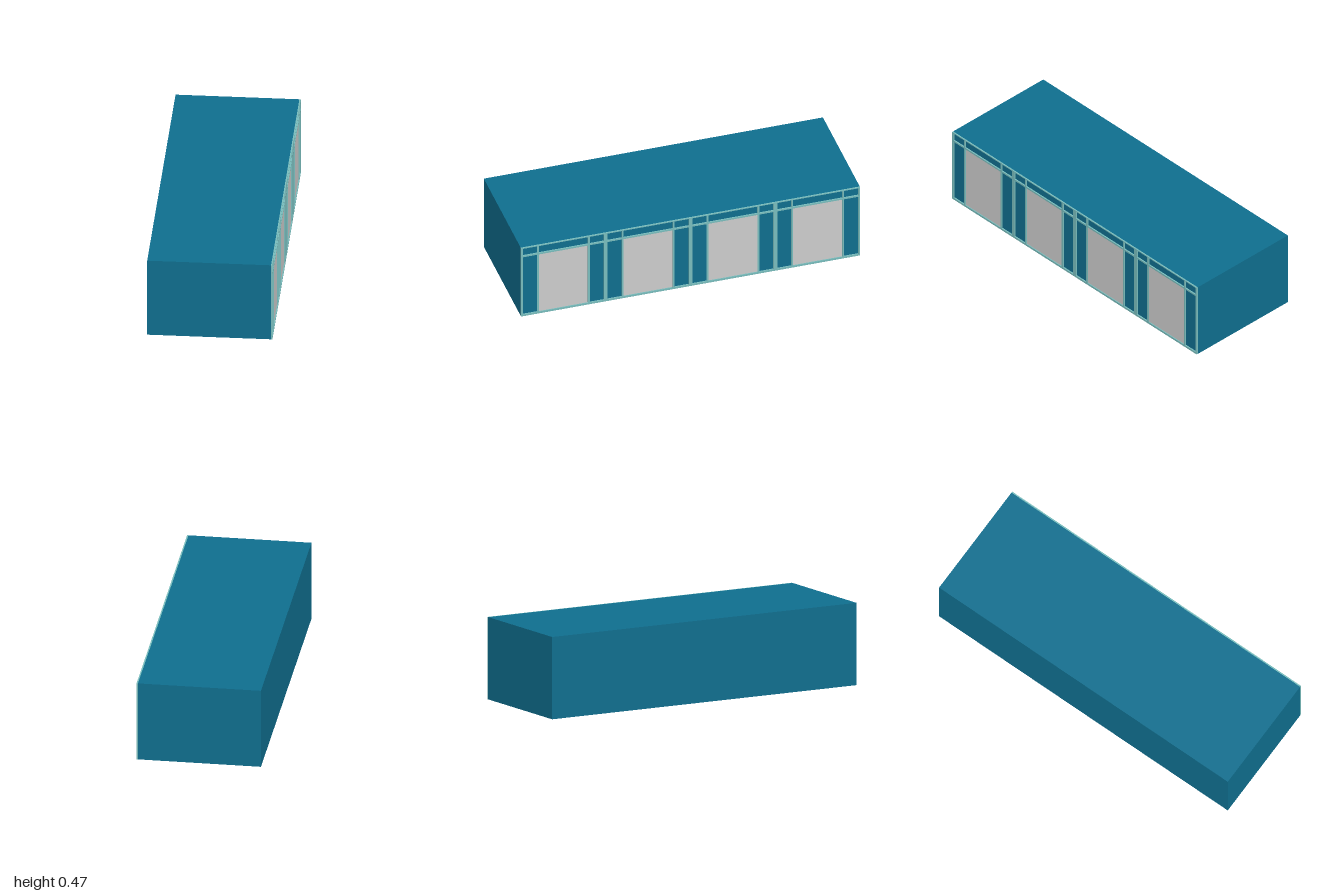
import * as THREE from 'three';

const H = 0.472, FACE = 0.346, DEPTH = 0.008, MODULE = 0.5;
const EDGE = 0.011, BAR = 0.01;

const blue = new THREE.MeshStandardMaterial({ color: 0x0f6e8e });
const teal = new THREE.MeshStandardMaterial({ color: 0x78bcbc });
const grey = new THREE.MeshStandardMaterial({ color: 0xcccccc });

function add(parent, name, geometry, material, x, y, z) {
  const mesh = new THREE.Mesh(geometry, material);
  mesh.name = name;
  mesh.position.set(x, y, z);
  parent.add(mesh);
  return mesh;
}

function rect(path, x0, y0, x1, y1) {
  path.moveTo(x0, y0);
  path.lineTo(x1, y0);
  path.lineTo(x1, y1);
  path.lineTo(x0, y1);
  path.closePath();
  return path;
}

// One bay of the facade: a 3 x 2 grid of openings cut from a thin sheet
function bayFrameGeometry() {
  const half = MODULE / 2, door = 0.15;
  const columns = [[-half + EDGE, -door - BAR / 2], [-door + BAR / 2, door - BAR / 2], [door + BAR / 2, half - EDGE]];
  const rows = [[0.012, 0.408], [0.418, H - 0.006]];
  const shape = rect(new THREE.Shape(), -half, 0, half, H);
  for (const [x0, x1] of columns) {
    for (const [y0, y1] of rows) shape.holes.push(rect(new THREE.Path(), x0, y0, x1, y1));
  }
  return new THREE.ExtrudeGeometry(shape, { depth: DEPTH, bevelEnabled: false }).rotateY(Math.PI / 2);
}

export function createModel() {
  const model = new THREE.Group();
  model.name = 'building';

  // Solid block whose face shows through the frame as blue panels
  add(model, 'body', new THREE.BoxGeometry(FACE + 0.354, H, 2), blue, (FACE - 0.354) / 2, H / 2, 0);

  // Four identical bays, each with a frame and a grey door panel
  const frame = bayFrameGeometry();
  const panel = new THREE.BoxGeometry(0.002, 0.396, 0.29);
  for (let i = 0; i < 4; i++) {
    const bay = new THREE.Group();
    bay.name = 'bay' + (i + 1);
    bay.position.z = (i - 1.5) * MODULE;
    add(bay, 'bayFrame', frame, teal, FACE, 0, 0);
    add(bay, 'doorPanel', panel, grey, FACE + 0.001, 0.21, 0);
    model.add(bay);
  }
  return model;
}
